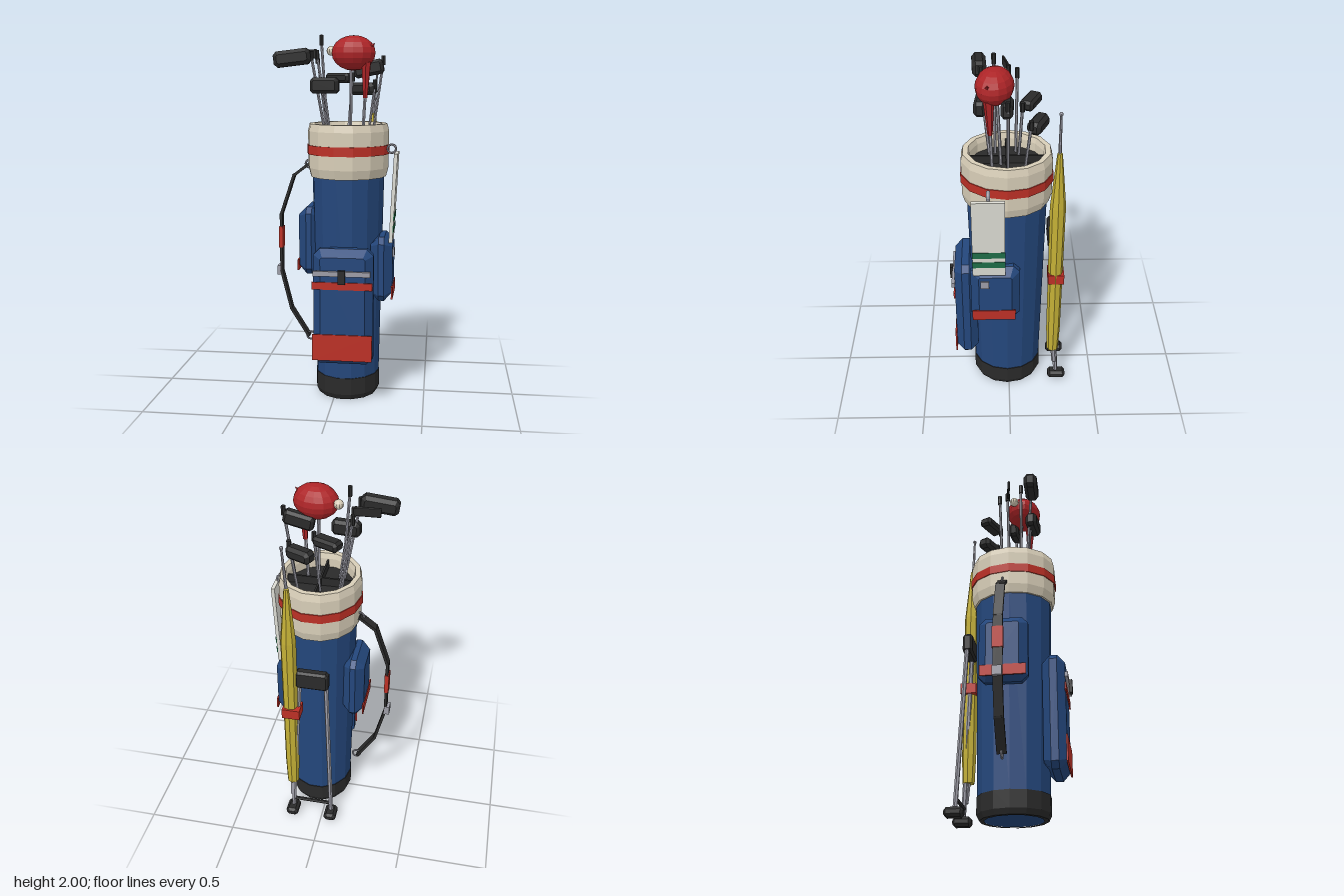
import * as THREE from 'three';

const mat = (name, color) => {
  const m = new THREE.MeshStandardMaterial({ color });
  m.name = name;
  return m;
};

export function createModel() {
  const model = new THREE.Group();
  model.name = 'golfBag';

  const blue = mat('navyFabric', 0x24477c);
  const black = mat('blackRubber', 0x2a2a2a);
  const cream = mat('creamLeather', 0xd8ceb8);
  const red = mat('redTrim', 0xbc3026);
  const crimson = mat('crimsonKnit', 0xad2427);
  const yellow = mat('yellowCanopy', 0xc4b036);
  const grey = mat('steel', 0x9c9ca6);
  const white = mat('towelWhite', 0xdcdcd4);
  const green = mat('greenStripe', 0x1f6e48);

  // Faceted mesh helper
  const add = (name, geo, material, x = 0, y = 0, z = 0, parent = model) => {
    const g = geo.index ? geo.toNonIndexed() : geo;
    g.computeVertexNormals();
    const mesh = new THREE.Mesh(g, material);
    mesh.name = name;
    mesh.position.set(x, y, z);
    parent.add(mesh);
    return mesh;
  };
  const box = (name, material, x0, x1, y0, y1, z0, z1) =>
    add(name, new THREE.BoxGeometry(x1 - x0, y1 - y0, z1 - z0), material,
      (x0 + x1) / 2, (y0 + y1) / 2, (z0 + z1) / 2);

  // Block with cut corners and bevelled faces, centred
  const chamferBox = (w, h, d, cut, bevel) => {
    const a = w / 2, b = h / 2;
    const s = new THREE.Shape([
      [-a + cut, -b], [a - cut, -b], [a, -b + cut], [a, b - cut],
      [a - cut, b], [-a + cut, b], [-a, b - cut], [-a, -b + cut],
    ].map(p => new THREE.Vector2(...p)));
    const g = new THREE.ExtrudeGeometry(s, {
      depth: d - 2 * bevel, bevelEnabled: true, bevelSegments: 1,
      bevelSize: bevel, bevelOffset: -bevel, bevelThickness: bevel,
    });
    return g.translate(0, 0, -d / 2 + bevel);
  };

  // Stretch a geometry's y axis from a to b
  const along = (mesh, a, b) => {
    const A = new THREE.Vector3(...a), B = new THREE.Vector3(...b);
    mesh.position.copy(A).add(B).multiplyScalar(0.5);
    mesh.quaternion.setFromUnitVectors(new THREE.Vector3(0, 1, 0), B.sub(A).normalize());
    return mesh;
  };
  const dist = (a, b) => Math.hypot(a[0] - b[0], a[1] - b[1], a[2] - b[2]);
  const rod = (name, material, a, b, r0, r1 = r0) =>
    along(add(name, new THREE.CylinderGeometry(r1, r0, dist(a, b), 6), material), a, b);
  const lathe = (pts, n, start = 0) =>
    new THREE.LatheGeometry(pts.map(p => new THREE.Vector2(...p)), n, start);

  // Oval bag: body, base, cuff, band, floor
  const bag = new THREE.Group();
  bag.name = 'bag';
  bag.position.set(0.06, 0, 0.01);
  bag.scale.z = 1.095;
  model.add(bag);
  const turned = (name, pts, m) => add(name, lathe(pts, 14, Math.PI / 2), m, 0, 0, 0, bag);
  turned('body', [[0, 0.002], [0.15, 0.002], [0.178, 0.11], [0.2, 1.25]], blue);
  turned('base', [[0.145, 0], [0.168, 0], [0.182, 0.03], [0.182, 0.125], [0.176, 0.125]], black);
  turned('cuff', [[0.19, 1.24], [0.21, 1.24], [0.223, 1.29], [0.225, 1.49], [0.215, 1.53],
    [0.188, 1.53], [0.18, 1.5], [0.18, 1.43]], cream);
  turned('cuffBand', [[0.22, 1.365], [0.229, 1.365], [0.229, 1.415], [0.22, 1.415]], red);
  turned('floor', [[0.182, 1.45], [0, 1.45]], black);
  add('dividerX', new THREE.BoxGeometry(0.36, 0.05, 0.01), black, 0, 1.47, 0, bag);
  add('dividerZ', new THREE.BoxGeometry(0.01, 0.05, 0.36), black, 0, 1.47, 0, bag);

  // Front pocket with trim and zip
  add('frontPocket', chamferBox(0.325, 0.64, 0.125, 0.035, 0.042), blue, 0.0615, 0.555, 0.243);
  box('frontPatch', red, -0.103, 0.222, 0.265, 0.41, 0.303, 0.312);
  box('frontStrip', red, -0.103, 0.222, 0.66, 0.7, 0.303, 0.312);
  box('frontZip', grey, -0.095, 0.212, 0.735, 0.762, 0.304, 0.322);
  box('zipPull', black, 0.04, 0.078, 0.695, 0.77, 0.318, 0.336);

  // Side pockets
  const sidePocket = (name, x, y, z, w, h) => {
    const p = add(name, chamferBox(w, h, 0.12, 0.035, 0.045), blue, x, y, z);
    p.rotation.y = Math.PI / 2;
  };
  sidePocket('leftPocket', 0.26, 0.75, 0.077, 0.27, 0.355);
  box('leftPocketStrip', red, 0.315, 0.324, 0.59, 0.655, -0.035, 0.205);
  box('leftPocketSnap', grey, 0.316, 0.329, 0.815, 0.86, 0.11, 0.157);
  sidePocket('rightPocket', -0.149, 0.88, -0.018, 0.27, 0.38);
  box('rightPocketStrip', red, -0.213, -0.205, 0.715, 0.775, -0.14, 0.11);

  // Striped towel hanging from a ring
  const towel = new THREE.Group();
  towel.name = 'towel';
  towel.position.set(0.321, 1.14, 0.11);
  towel.rotation.z = -0.05;
  model.add(towel);
  add('towelCloth', new THREE.BoxGeometry(0.02, 0.48, 0.175), white, 0, 0, 0, towel);
  for (const y of [-0.1, -0.165])
    add('towelStripe', new THREE.BoxGeometry(0.006, 0.038, 0.177), green, 0.01, y, 0, towel);
  const ring = (name, x, y, z) =>
    add(name, new THREE.TorusGeometry(0.023, 0.006, 6, 12), grey, x, y, z);
  ring('towelRing', 0.306, 1.4, 0.108).scale.z = 1.8;

  // Shoulder strap with pad, buckle and rings
  const strap = [[-0.165, 1.3], [-0.25, 1.235], [-0.325, 1.01], [-0.325, 0.68],
    [-0.27, 0.46], [-0.17, 0.3]].map(p => [...p, -0.023]);
  for (let i = 1; i < strap.length; i++) {
    const a = strap[i - 1], b = strap[i];
    along(add('strap', new THREE.BoxGeometry(0.015, dist(a, b) + 0.01, 0.052), black), a, b);
  }
  box('strapPad', red, -0.338, -0.314, 0.82, 0.94, -0.054, 0.006);
  box('strapBuckle', grey, -0.349, -0.318, 0.66, 0.712, -0.05, 0.001);
  ring('strapRingTop', -0.162, 1.3, -0.023);
  ring('strapRingBottom', -0.16, 0.297, -0.023);

  // Folding stand at the back
  add('standBracket', chamferBox(0.185, 0.11, 0.055, 0.015, 0.012), black, 0.057, 1.0, -0.243);
  for (const [top, foot] of [[-0.02, -0.055], [0.125, 0.175]]) {
    rod('standLeg', grey, [top, 0.99, -0.245], [foot, 0.04, -0.282], 0.013);
    add('standFoot', chamferBox(0.07, 0.052, 0.104, 0.015, 0.014), black, foot, 0.029, -0.287);
  }
  rod('standCrossbar', black, [-0.052, 0.1, -0.277], [0.172, 0.1, -0.277], 0.011);

  // Furled umbrella and its holder
  add('umbrella', lathe([[0, 0.24], [0.034, 0.24], [0.04, 0.4], [0.043, 1.25], [0.014, 1.57], [0, 1.58]], 8),
    yellow, 0.178, 0, -0.259);
  rod('umbrellaTip', grey, [0.178, 1.56, -0.258], [0.196, 1.8, -0.256], 0.009, 0.006);
  add('umbrellaBall', new THREE.SphereGeometry(0.011, 8, 6), grey, 0.196, 1.8, -0.256);
  rod('umbrellaShaft', grey, [0.178, 0.13, -0.272], [0.178, 0.25, -0.262], 0.015);
  box('umbrellaHolder', red, 0.118, 0.218, 0.752, 0.812, -0.307, -0.217);

  // Clubs: head centre, head size, head turn [y, z], hosel point, foot of shaft [x, z]
  const clubs = [
    [[-0.225, 1.88, 0.152], [0.2, 0.085, 0.075], [0.04, 0.12], [-0.125, 1.89, 0.14], [-0.05, 0.1]],
    [[-0.182, 1.9, 0.012], [0.138, 0.05, 0.013], [0.18, 0.08], [-0.115, 1.9, -0.002], [-0.045, 0]],
    [[-0.005, 1.775, -0.115], [0.15, 0.055, 0.075], [-0.42, 0], [0.075, 1.78, -0.07], [0.05, -0.05]],
    [[0.13, 1.715, -0.148], [0.15, 0.07, 0.075], [-0.42, 0], [0.196, 1.74, -0.11], [0.16, -0.08]],
    [[0.17, 1.825, 0.008], [0.165, 0.08, 0.06], [-0.05, 0.2], [0.25, 1.87, 0.005], [0.19, 0.005]],
    [[-0.052, 1.735, 0.142], [0.155, 0.085, 0.065], [-0.1, 0], [-0.06, 1.73, 0.13], [-0.025, 0.1]],
  ];
  for (const [c, size, turn, hosel, foot] of clubs) {
    const cut = Math.min(...size) * 0.25;
    const head = add('clubHead', chamferBox(...size, cut, cut), black, ...c);
    head.rotation.set(0, turn[0], turn[1]);
    rod('clubShaft', grey, [foot[0], 1.44, foot[1]], hosel, 0.008);
    add('clubHosel', new THREE.CylinderGeometry(0.013, 0.013, 0.05, 6), black, ...hosel);
  }

  // Spare shafts with black grips
  for (const [top, foot] of [[[-0.118, 1.88, -0.048], [-0.06, -0.04]], [[-0.08, 1.975, 0.073], [-0.045, 0.07]]]) {
    rod('spareShaft', grey, [foot[0], 1.44, foot[1]], top, 0.008);
    add('spareGrip', new THREE.CylinderGeometry(0.012, 0.012, 0.055, 6), black, ...top);
  }

  // Knitted head cover with sock and pompom
  const cover = add('headCover', new THREE.SphereGeometry(1, 14, 10), crimson, 0.094, 1.907, 0.07);
  cover.scale.set(0.122, 0.093, 0.098);
  cover.rotation.set(0, -0.2, 0);
  const fold = add('headCoverFold', new THREE.ConeGeometry(0.035, 0.07, 4), crimson, 0.185, 1.935, 0.105);
  fold.rotation.z = -0.9;
  add('pompom', new THREE.SphereGeometry(0.026, 10, 8), cream, -0.032, 1.92, 0.026);
  rod('headCoverSock', crimson, [0.16, 1.67, 0.095], [0.165, 1.86, 0.1], 0.013, 0.028);
  rod('coveredShaft', grey, [0.145, 1.44, 0.085], [0.16, 1.7, 0.095], 0.009);
  rod('middleShaft', grey, [0.075, 1.44, 0.04], [0.08, 1.86, 0.06], 0.009);

  return model;
}
